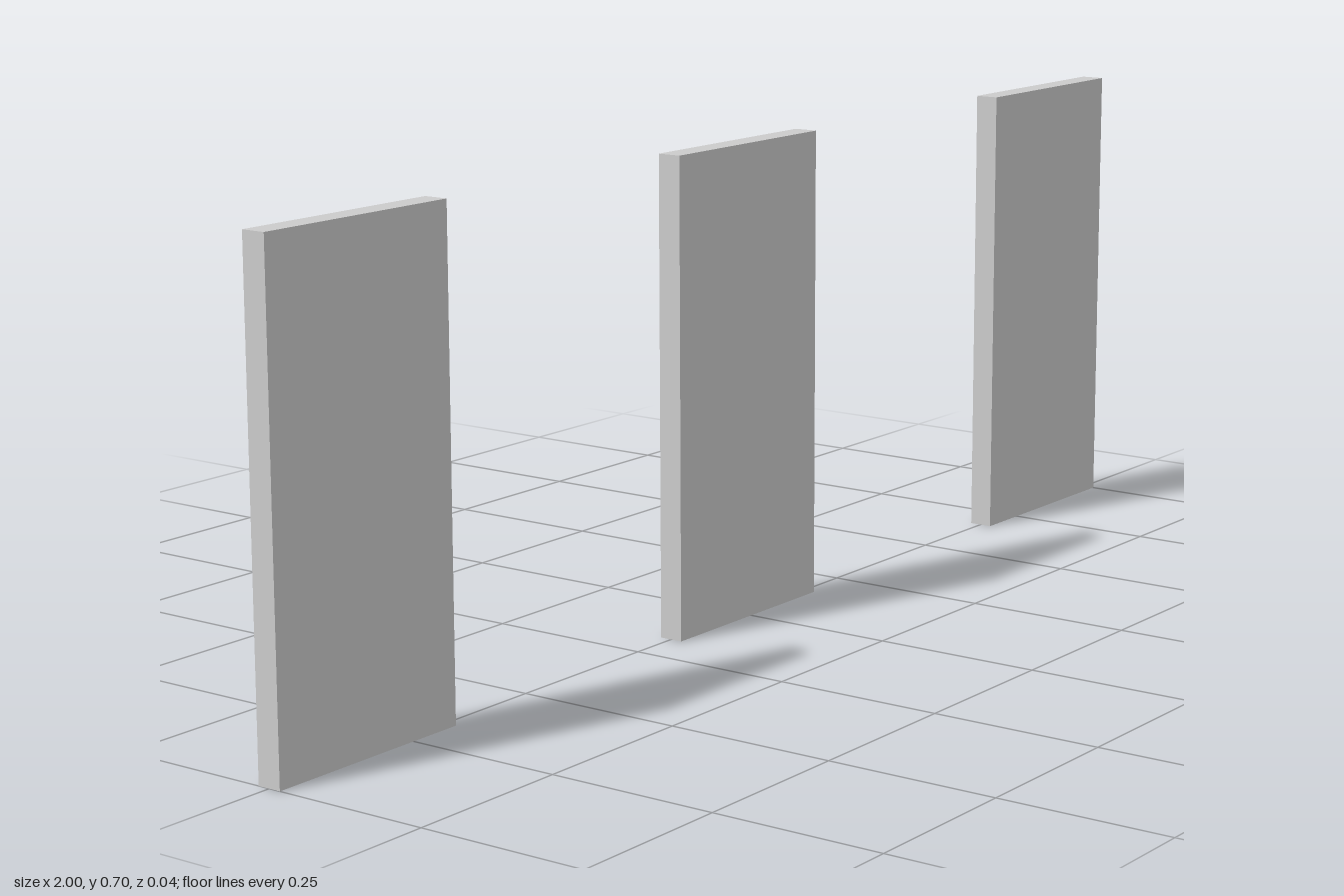
import * as THREE from 'three';

const WIDTH = 0.334, HEIGHT = 0.702, DEPTH = 0.036;

export function createModel() {
  const group = new THREE.Group();
  group.name = 'panelRow';
  const material = new THREE.MeshStandardMaterial({ color: 0xcccccc });
  const geometry = new THREE.BoxGeometry(WIDTH, HEIGHT, DEPTH);

  // three upright slabs standing in a row, the middle one slightly off centre
  const panels = { rightPanel: -0.833, middlePanel: -0.005, leftPanel: 0.833 };
  for (const [name, x] of Object.entries(panels)) {
    const panel = new THREE.Mesh(geometry, material);
    panel.name = name;
    panel.position.set(x, HEIGHT / 2, 0);
    group.add(panel);
  }
  return group;
}
